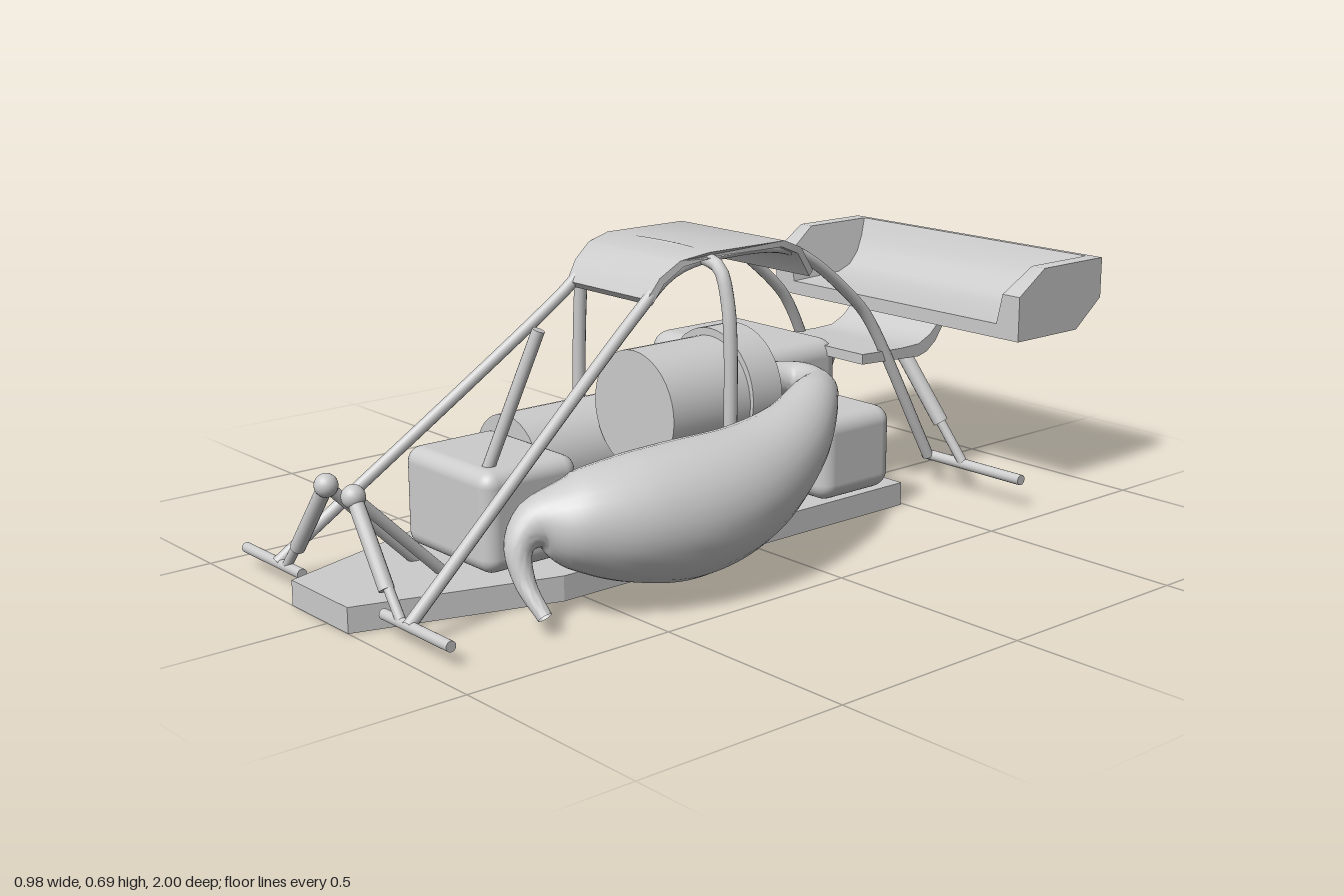
import * as THREE from 'three';
import { toCreasedNormals } from 'three/addons/utils/BufferGeometryUtils.js';
import { RoundedBoxGeometry } from 'three/addons/geometries/RoundedBoxGeometry.js';

const CX = -0.03; // centre line of the chassis
const V = (p) => new THREE.Vector3(...p);
const grey = new THREE.MeshStandardMaterial({ color: 0xcccccc });
const greyThin = new THREE.MeshStandardMaterial({ color: 0xcccccc, side: THREE.DoubleSide });

export function createModel() {
  const model = new THREE.Group();

  const add = (name, geometry, material = grey) => {
    const mesh = new THREE.Mesh(geometry, material);
    mesh.name = name;
    model.add(mesh);
    return mesh;
  };

  // Straight rod between two points
  const rod = (name, a, b, r, sides = 16) => {
    const from = V(a), to = V(b), dir = to.clone().sub(from);
    const mesh = add(name, new THREE.CylinderGeometry(r, r, dir.length(), sides));
    mesh.position.copy(from).add(to).multiplyScalar(0.5);
    mesh.quaternion.setFromUnitVectors(new THREE.Vector3(0, 1, 0), dir.normalize());
    return mesh;
  };

  // Bent round tube
  const pipe = (name, points, r) => {
    const curve = new THREE.CatmullRomCurve3(points.map(V), false, 'centripetal');
    return add(name, new THREE.TubeGeometry(curve, 72, r, 12), greyThin);
  };

  // Rounded block given by its ranges
  const block = (name, [x0, x1], [y0, y1], [z0, z1], r) => {
    const mesh = add(name, new RoundedBoxGeometry(x1 - x0, y1 - y0, z1 - z0, 4, r));
    mesh.position.set((x0 + x1) / 2, (y0 + y1) / 2, (z0 + z1) / 2);
  };

  // Side profile of [z, y] points extruded from x0 to x1
  const sideExtrude = (profile, x0, x1) => {
    const shape = new THREE.Shape(profile.map((p) => new THREE.Vector2(...p)));
    return new THREE.ExtrudeGeometry(shape, { depth: x1 - x0, bevelEnabled: false })
      .rotateY(-Math.PI / 2).translate(x1, 0, 0);
  };
  const bend = (geometry, rule) => {
    const p = geometry.attributes.position;
    for (let i = 0; i < p.count; i++) p.setX(i, rule(p.getX(i), p.getY(i), p.getZ(i)));
    return toCreasedNormals(geometry, 0.6);
  };

  // Floor pan with a tapered nose
  const outline = [[-0.11, 1], [0.11, 1], [0.247, 0.55], [0.247, -0.49], [-0.247, -0.49], [-0.247, 0.55]];
  const floor = new THREE.Shape(outline.map(([x, z]) => new THREE.Vector2(x + CX, z)));
  add('floorPan', new THREE.ExtrudeGeometry(floor, { depth: 0.057, bevelEnabled: false })
    .rotateX(Math.PI / 2).translate(0, 0.057, 0));

  // Roof panel, narrowed towards its front edge
  const roofTop = [[0.23, 0.595], [0.2, 0.64], [0.15, 0.675], [0.08, 0.688], [-0.15, 0.688], [-0.21, 0.665], [-0.255, 0.605]];
  const roofUnder = roofTop.map(([z, y]) => [z * 0.95, y - 0.014]).reverse();
  add('roofPanel', bend(sideExtrude([...roofTop, ...roofUnder], CX - 0.18, CX + 0.18), (x, y, z) => {
    const t = THREE.MathUtils.clamp(z > 0 ? (z - 0.08) / 0.15 : (-z - 0.15) / 0.3, 0, 1);
    return CX + (x - CX) * (1 - 0.2 * t);
  }));

  // Rear wing: scooped trough between two end plates with sloping inner walls
  const scoop = [[-0.69, 0.41], [-0.91, 0.41], [-1, 0.48], [-1, 0.58], [-0.985, 0.58], [-0.965, 0.535],
    [-0.94, 0.495], [-0.905, 0.465], [-0.86, 0.45], [-0.69, 0.445]];
  add('wingTrough', toCreasedNormals(sideExtrude(scoop, -0.44, 0.395), 0.6));
  const plate = [[-0.69, 0.41], [-0.69, 0.52], [-0.78, 0.58], [-1, 0.58], [-1, 0.48], [-0.91, 0.41]];
  for (const s of [-1, 1]) {
    const outer = -0.0225 + s * 0.4225;
    add('wingEndPlate', bend(sideExtrude(plate, Math.min(outer, outer - s * 0.04), Math.max(outer, outer - s * 0.04)),
      (x, y) => (Math.abs(x - outer) < 0.01 ? x : x - s * (0.58 - y) * 0.22)));
  }

  // Curved bracket carrying the wing
  const bracketTop = [[-0.44, 0.37], [-0.58, 0.365], [-0.64, 0.367], [-0.68, 0.385], [-0.72, 0.42]];
  const bracketUnder = [[-0.74, 0.42], [-0.7, 0.365], [-0.67, 0.343], [-0.64, 0.335], [-0.44, 0.345]];
  add('wingBracket', toCreasedNormals(sideExtrude([...bracketTop, ...bracketUnder], CX - 0.15, CX + 0.155), 0.6));

  // Frame rails, axle stubs and suspension, mirrored about the chassis centre
  for (const s of [-1, 1]) {
    const X = (d) => CX + s * d;
    pipe('frameRail', [[X(0.257), 0.045, 0.95], [X(0.137), 0.57, 0.25], [X(0.135), 0.64, 0.16], [X(0.135), 0.665, 0.07],
      [X(0.138), 0.665, -0.17], [X(0.14), 0.63, -0.26], [X(0.14), 0.5, -0.43], [X(0.143), 0.44, -0.48],
      [X(0.17), 0.075, -0.67]], 0.014);
    rod('frontAxleStub', [X(0.16), 0.044, 0.945], [X(0.4), 0.044, 0.945], 0.012);
    rod('rearAxleStub', [X(0.15), 0.075, -0.68], [X(0.465), 0.075, -0.68], 0.013);

    // Front suspension
    const ball = add('suspensionBall', new THREE.SphereGeometry(0.026, 20, 14));
    ball.position.set(X(0.053), 0.267, 0.94);
    rod('frontStrut', [X(0.053), 0.267, 0.94], [X(0.053), 0.045, 0.715], 0.013);
    rod('frontShockRod', [X(0.053), 0.267, 0.94], [X(0.225), 0.045, 0.945], 0.011);
    rod('frontShockBody', [X(0.064), 0.253, 0.94], [X(0.175), 0.1, 0.945], 0.017);

    // Rear suspension
    rod('rearShockRod', [X(0.12), 0.345, -0.62], [X(0.28), 0.075, -0.68], 0.012);
    rod('rearShockBody', [X(0.125), 0.335, -0.622], [X(0.22), 0.175, -0.658], 0.019);
  }

  // Roll hoop behind the driver space
  pipe('rollHoop', [[-0.26, 0.03, 0.065], [-0.315, 0.055, 0.065], [-0.34, 0.12, 0.065], [-0.338, 0.5, 0.065],
    [-0.325, 0.58, 0.065], [-0.275, 0.645, 0.065], [-0.19, 0.667, 0.065], [0.13, 0.667, 0.065], [0.17, 0.65, 0.065],
    [0.195, 0.58, 0.065], [0.205, 0.48, 0.065], [0.2, 0.04, 0.065]], 0.016);

  // Blocks on the floor
  block('frontTank', [-0.18, 0.138], [0.06, 0.287], [0.44, 0.69], 0.035);
  block('rearTank', [-0.383, 0.005], [0.058, 0.385], [-0.485, -0.18], 0.045);
  block('rearSideBox', [-0.01, 0.225], [0.058, 0.262], [-0.45, -0.215], 0.04);
  block('engineBlock', [-0.08, 0.17], [0.05, 0.24], [-0.17, 0.08], 0.02);

  // Engine drums
  rod('engineDrum', [0.04, 0.325, -0.04], [0.04, 0.325, 0.21], 0.14, 40);
  rod('engineFlange', [0.04, 0.333, -0.11], [0.04, 0.333, -0.02], 0.15, 40);
  rod('longDrum', [-0.188, 0.18, -0.2], [-0.188, 0.18, 0.4], 0.123, 40);
  rod('drumStub', [-0.19, 0.19, -0.055], [-0.285, 0.272, -0.055], 0.08, 32);

  // Lever
  rod('lever', [0.07, 0.26, 0.645], [0.163, 0.585, 0.565], 0.014);

  // Exhaust: tube whose radius swells and shrinks along its path, [x, y, z, radius]
  const stations = [[0.04, 0.33, -0.08, 0.04], [0.035, 0.33, -0.22, 0.04], [0.075, 0.325, -0.28, 0.042],
    [0.15, 0.32, -0.26, 0.046], [0.21, 0.315, -0.19, 0.06], [0.295, 0.26, -0.03, 0.095], [0.335, 0.205, 0.16, 0.135],
    [0.338, 0.187, 0.32, 0.15], [0.328, 0.195, 0.46, 0.137], [0.3, 0.205, 0.58, 0.105], [0.268, 0.205, 0.665, 0.055],
    [0.27, 0.17, 0.705, 0.032], [0.3, 0.1, 0.712, 0.022], [0.355, 0.04, 0.705, 0.016]];
  const path = new THREE.CatmullRomCurve3(stations.map((s) => V(s)), false, 'centripetal');
  const sizes = new THREE.SplineCurve(stations.map((s, i) => new THREE.Vector2(i, s[3])));
  const rings = 100, sides = 28;
  const exhaust = new THREE.TubeGeometry(path, rings, 1, sides);
  const pos = exhaust.attributes.position, v = new THREE.Vector3();
  for (let i = 0; i <= rings; i++) {
    const centre = path.getPointAt(i / rings);
    const r = sizes.getPoint(path.getUtoTmapping(i / rings)).y;
    for (let j = 0; j <= sides; j++) {
      const k = i * (sides + 1) + j;
      v.fromBufferAttribute(pos, k).sub(centre).multiplyScalar(r).add(centre);
      pos.setXYZ(k, v.x, v.y, v.z);
    }
  }
  add('exhaust', toCreasedNormals(exhaust, 1.2), greyThin);

  return model;
}
